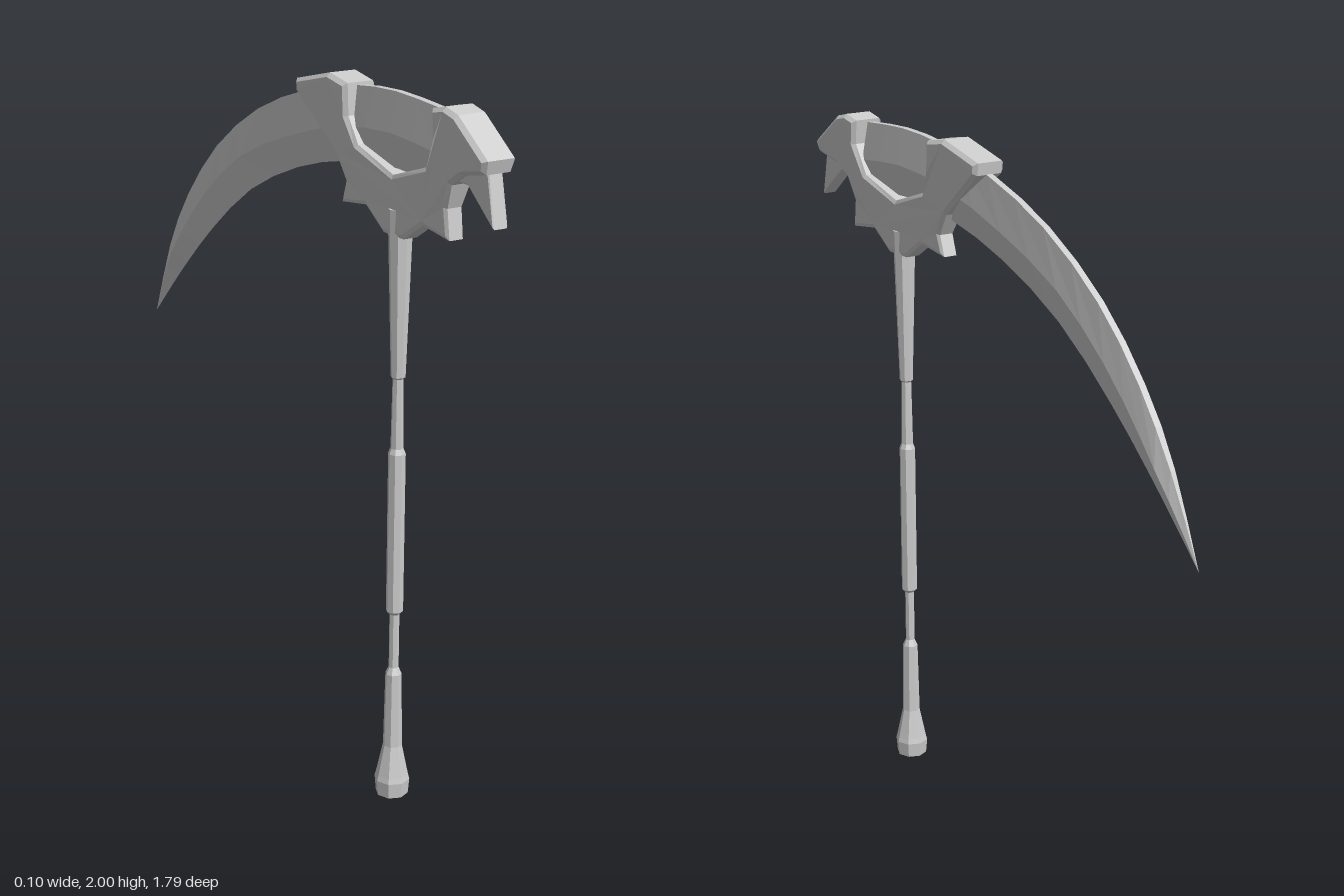
import * as THREE from 'three';

const material = new THREE.MeshStandardMaterial({ color: 0xcccccc, flatShading: true });
const SHAFT_Z = 0.475;

function add(group, name, geometry) {
  const mesh = new THREE.Mesh(geometry, material);
  mesh.name = name;
  group.add(mesh);
  return mesh;
}

// Plate drawn as [z, y] points and given thickness along x, with a bevelled rim
function plate(points, half, bevel) {
  const shape = new THREE.Shape(points.map(([z, y]) => new THREE.Vector2(z, y)));
  const depth = 2 * (half - bevel);
  const geometry = new THREE.ExtrudeGeometry(shape, {
    depth, bevelEnabled: bevel > 0, bevelThickness: bevel, bevelSize: bevel, bevelOffset: -bevel, bevelSegments: 1,
  });
  geometry.translate(0, 0, -depth / 2);
  geometry.rotateY(-Math.PI / 2);
  return geometry;
}

// Curved blade: five-sided sections (flat spine, ridge each side, cutting edge)
function bladeGeometry() {
  const curve = (pts) => new THREE.CatmullRomCurve3(pts.map(([z, y]) => new THREE.Vector3(0, y, z)));
  const spine = curve([[0.65, 1.98], [0.46, 1.99], [0.26, 1.975], [0.03, 1.925], [-0.23, 1.83], [-0.47, 1.68], [-0.65, 1.5], [-0.78, 1.31], [-0.895, 1.07]]);
  const ridge = curve([[0.66, 1.87], [0.46, 1.885], [0.22, 1.86], [-0.05, 1.785], [-0.31, 1.68], [-0.52, 1.53], [-0.68, 1.37], [-0.79, 1.235], [-0.895, 1.07]]);
  const edge = curve([[0.66, 1.78], [0.46, 1.79], [0.22, 1.765], [-0.03, 1.7], [-0.29, 1.585], [-0.52, 1.42], [-0.68, 1.28], [-0.79, 1.175], [-0.895, 1.07]]);
  const steps = 16, rings = [], verts = [];
  for (let i = 0; i <= steps; i++) {
    const t = i / steps;
    const taper = Math.min(1, (1 - t) * 6);
    const at = (c, x) => c.getPoint(t).setX(x * taper);
    rings.push([at(spine, -0.01), at(spine, 0.01), at(ridge, 0.025), at(edge, 0), at(ridge, -0.025)]);
  }
  const tri = (...pts) => pts.forEach((p) => verts.push(p.x, p.y, p.z));
  for (let i = 0; i < steps; i++) {
    for (let k = 0; k < 5; k++) {
      const n = (k + 1) % 5;
      const [a, b, c, d] = [rings[i][k], rings[i][n], rings[i + 1][n], rings[i + 1][k]];
      tri(a, b, c);
      if (i < steps - 1) tri(a, c, d);
    }
  }
  for (let k = 1; k < 4; k++) tri(rings[0][0], rings[0][k + 1], rings[0][k]);
  const geometry = new THREE.BufferGeometry();
  geometry.setAttribute('position', new THREE.Float32BufferAttribute(verts, 3));
  geometry.computeVertexNormals();
  return geometry;
}

// Winged bracket: thick at the top, waisted below the blade
function bracketGeometry() {
  const geometry = plate([
    [0.895, 1.895], [0.77, 1.985], [0.72, 1.997], [0.665, 1.985], [0.672, 1.915], [0.63, 1.83],
    [0.475, 1.78], [0.32, 1.83], [0.285, 1.9], [0.28, 1.985], [0.195, 2], [0.03, 1.96],
    [0.035, 1.925], [0.21, 1.785], [0.25, 1.72], [0.23, 1.66], [0.345, 1.675],
    [0.43, 1.62], [0.52, 1.62], [0.605, 1.675], [0.72, 1.66], [0.71, 1.74],
    [0.735, 1.805], [0.79, 1.84], [0.885, 1.86],
  ], 0.05, 0.011);
  const levels = [[1.62, 0.027], [1.66, 0.026], [1.75, 0.027], [1.89, 0.05], [2.1, 0.05]];
  const halfAt = (y) => {
    for (let i = 1; i < levels.length; i++) {
      const [[y0, h0], [y1, h1]] = [levels[i - 1], levels[i]];
      if (y <= y1) return THREE.MathUtils.lerp(h0, h1, Math.max(0, (y - y0) / (y1 - y0)));
    }
    return 0.05;
  };
  const p = geometry.attributes.position;
  for (let i = 0; i < p.count; i++) p.setX(i, (p.getX(i) * halfAt(p.getY(i))) / 0.05);
  geometry.computeVertexNormals();
  return geometry;
}

export function createModel() {
  const model = new THREE.Group();
  model.name = 'scythe';

  // Shaft with pommel, grip and flared head
  const profile = [
    [0, 0], [0.046, 0], [0.05, 0.045], [0.046, 0.06], [0.027, 0.15], [0.023, 0.37], [0.014, 0.39],
    [0.014, 0.55], [0.024, 0.56], [0.024, 1.02], [0.018, 1.035], [0.015, 1.23], [0.02, 1.235],
    [0.034, 1.69], [0, 1.69],
  ].map(([r, y]) => new THREE.Vector2(r, y));
  add(model, 'shaft', new THREE.LatheGeometry(profile, 8)).position.z = SHAFT_Z;

  add(model, 'blade', bladeGeometry());
  add(model, 'bracket', bracketGeometry());

  // Small fang under the front of the bracket
  add(model, 'frontFang', plate([[0.87, 1.88], [0.9, 1.727], [0.79, 1.815], [0.73, 1.815], [0.73, 1.88]], 0.022, 0.004));

  return model;
}
